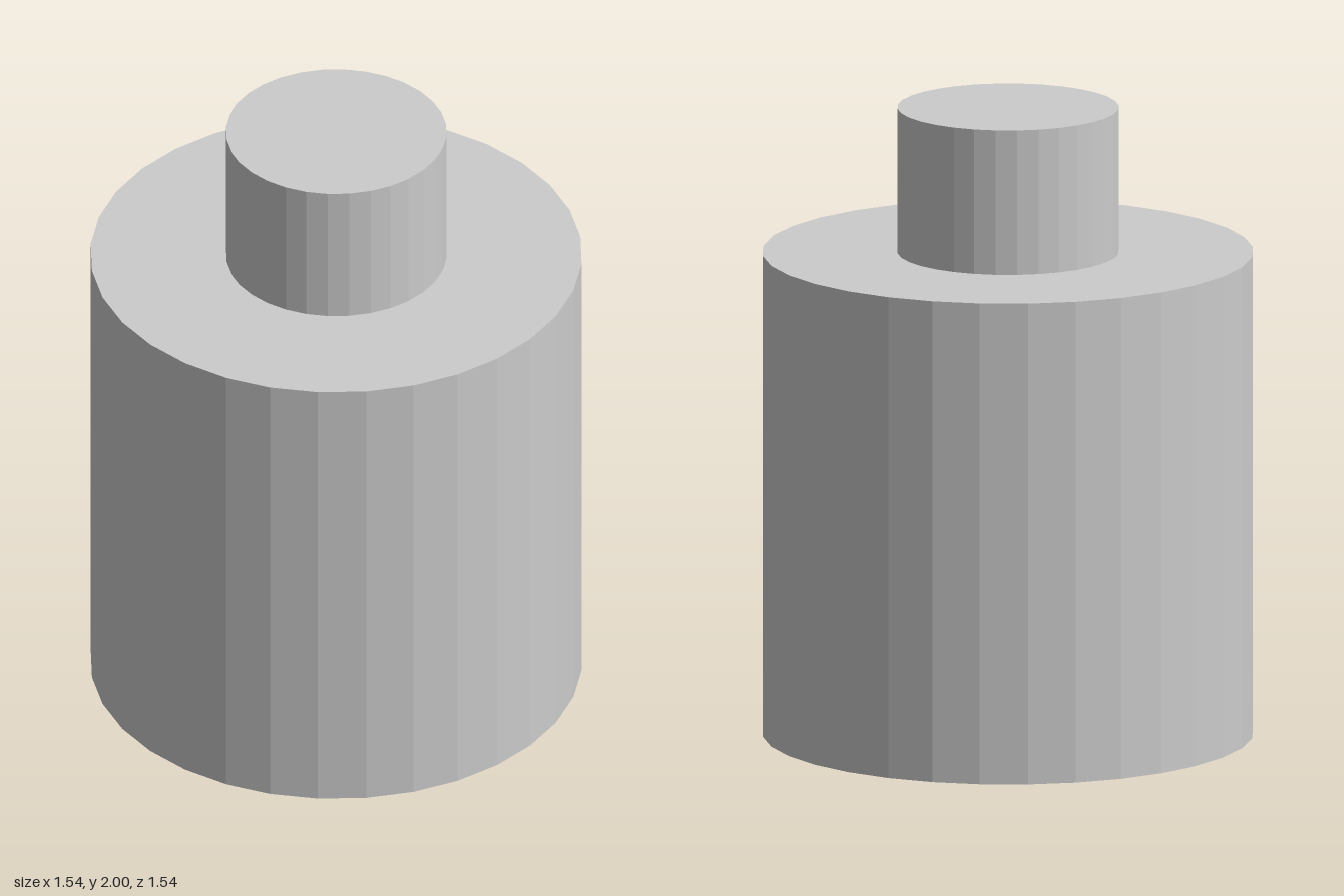
import * as THREE from 'three';

const SIDES = 32;

export function createModel() {
  const group = new THREE.Group();
  const material = new THREE.MeshStandardMaterial({ color: 0xcccccc, flatShading: true });

  // Upright cylinder standing on the given height
  function addCylinder(name, radius, bottom, height) {
    const mesh = new THREE.Mesh(new THREE.CylinderGeometry(radius, radius, height, SIDES), material);
    mesh.name = name;
    mesh.position.y = bottom + height / 2;
    group.add(mesh);
  }

  // Wide body with a narrow neck on top
  addCylinder('body', 0.769, 0, 1.538);
  addCylinder('neck', 0.346, 1.538, 0.462);

  return group;
}
